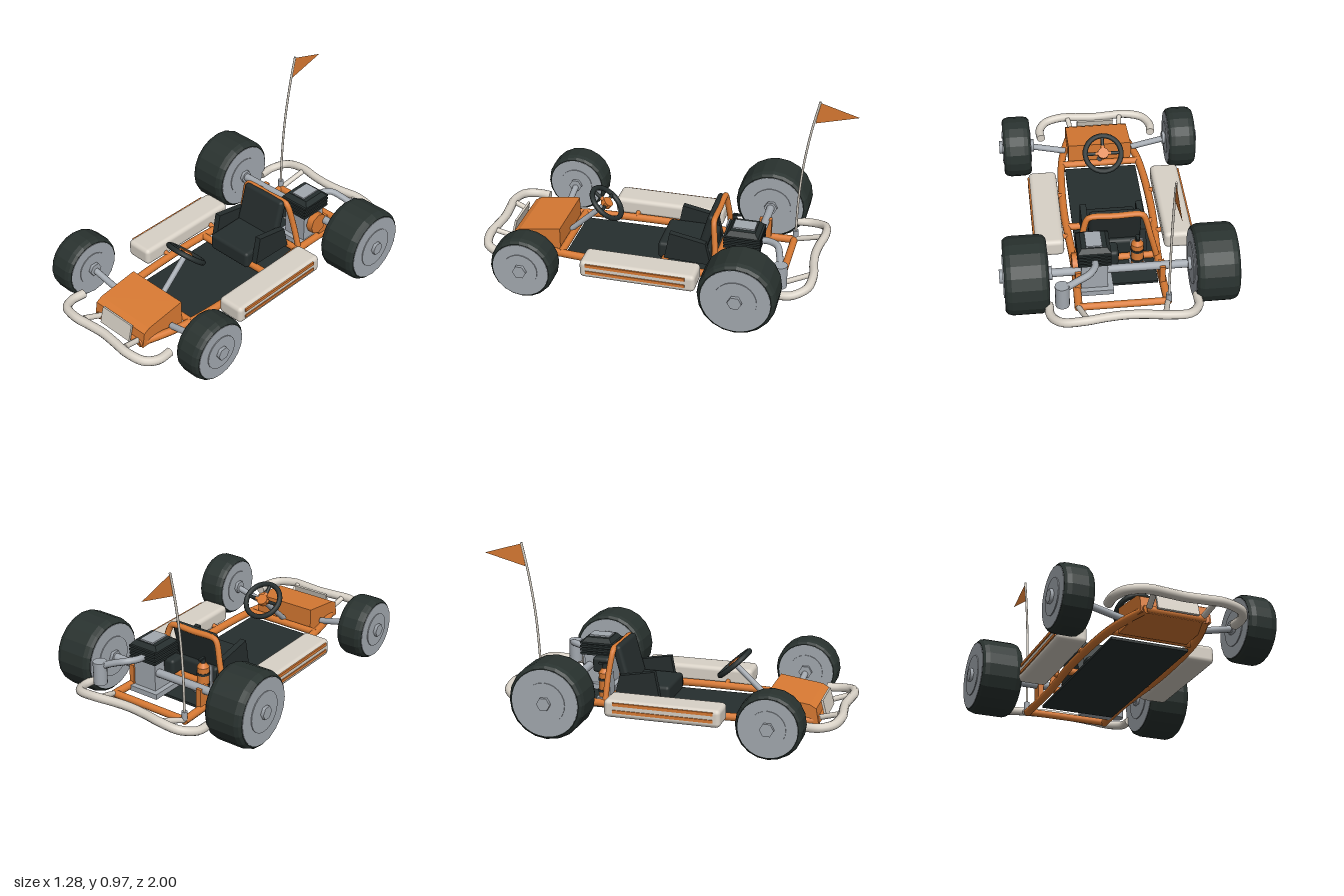
import * as THREE from 'three';
import { toCreasedNormals } from 'three/addons/utils/BufferGeometryUtils.js';
import { RoundedBoxGeometry } from 'three/addons/geometries/RoundedBoxGeometry.js';

const mat = (name, color, side = THREE.FrontSide) => {
  const m = new THREE.MeshStandardMaterial({ color, side });
  m.name = name;
  return m;
};
const V = (p) => new THREE.Vector3(...p);

export function createModel() {
  const orange = mat('orange paint', 0xd97a33);
  const flagOrange = mat('flag orange', 0xd97a33, THREE.DoubleSide);
  const cream = mat('cream plastic', 0xd9d2c7);
  const metal = mat('grey metal', 0xa3a9b0);
  const rubber = mat('dark rubber', 0x29322f);
  const black = mat('dark vinyl', 0x262e2e);
  const model = new THREE.Group();
  model.name = 'goKart';

  const add = (name, geo, material, pos = [0, 0, 0], parent = model) => {
    const m = new THREE.Mesh(geo, material);
    m.name = name;
    m.position.set(...pos);
    parent.add(m);
    return m;
  };
  const box = (name, size, pos, material, parent) => add(name, new THREE.BoxGeometry(...size), material, pos, parent);
  const rbox = (name, size, r, pos, material, parent) =>
    add(name, new RoundedBoxGeometry(...size, 2, r), material, pos, parent);
  const cyl = (name, r, h, pos, material, parent, seg = 16, r2 = r) =>
    add(name, new THREE.CylinderGeometry(r2, r, h, seg), material, pos, parent);
  // straight bar between two points
  const bar = (name, a, b, r, material, parent = model) => {
    const d = V(b).sub(V(a));
    const m = cyl(name, r, d.length(), V(a).add(V(b)).multiplyScalar(0.5).toArray(), material, parent, 12);
    m.quaternion.setFromUnitVectors(new THREE.Vector3(0, 1, 0), d.normalize());
    return m;
  };
  // smooth bent tube with closed ends
  const tube = (name, pts, r, material, seg = 40) => {
    const curve = new THREE.CatmullRomCurve3(pts.map(V), false, 'centripetal');
    add(name, new THREE.TubeGeometry(curve, seg, r, 10), material);
    for (const t of [0, 1]) {
      const cap = add(name + 'End', new THREE.CircleGeometry(r, 10), material, curve.getPoint(t).toArray());
      cap.quaternion.setFromUnitVectors(new THREE.Vector3(0, 0, 1), curve.getTangent(t).multiplyScalar(t ? 1 : -1));
    }
  };
  // side profile given as [z, y], extruded across the width
  const profile = (name, pts, width, x, material) => {
    const shape = new THREE.Shape(pts.map((p) => new THREE.Vector2(...p)));
    const g = new THREE.ExtrudeGeometry(shape, { depth: width, bevelEnabled: false });
    g.rotateY(-Math.PI / 2).translate(width / 2, 0, 0);
    return add(name, g, material, [x, 0, 0]);
  };
  const mirrored = (half) => [...half, ...half.slice(0, -1).reverse().map(([x, y, z]) => [-x, y, z])];

  // wheels: faceted tyre, wide rim disc, hub plate and hexagonal nut
  const wheel = (name, s, x, y, z, r, w) => {
    const g = new THREE.Group();
    g.name = name;
    g.position.set(s * x, y, z);
    g.rotation.z = -s * Math.PI / 2;
    model.add(g);
    const h = w / 2;
    const half = [[0, h - 0.006], [r * 0.82, h - 0.002], [r * 0.9, h], [r * 0.965, h - 0.013], [r, h - 0.036]];
    const pts = [...half.map(([a, b]) => [a, -b]), ...half.reverse()].map((p) => new THREE.Vector2(...p));
    add('tyre', toCreasedNormals(new THREE.LatheGeometry(pts, 20), 0.1), rubber, [0, 0, 0], g);
    cyl('rim', r * 0.875, w + 0.004, [0, 0, 0], metal, g, 32);
    cyl('hubPlate', r * 0.54, w + 0.014, [0, 0, 0], metal, g, 24);
    cyl('wheelNut', 0.038, w + 0.05, [0, 0, 0], metal, g, 6);
  };
  for (const s of [1, -1]) {
    wheel('rearWheel', s, 0.5, 0.213, -0.52, 0.21, 0.228);
    wheel('frontWheel', s, 0.488, 0.181, 0.66, 0.177, 0.156);
    bar('frontAxleArm', [s * 0.2, 0.13, 0.655], [s * 0.43, 0.181, 0.66], 0.018, metal);

    // chassis rails
    tube('chassisRail', [[s * 0.235, 0.105, -0.69], [s * 0.23, 0.105, -0.35], [s * 0.25, 0.105, 0.1],
      [s * 0.235, 0.105, 0.5], [s * 0.21, 0.105, 0.66], [s * 0.155, 0.105, 0.85]], 0.022, orange);

    // side pods with painted stripes and mounts
    rbox('sidePod', [0.16, 0.1, 0.64], 0.025, [s * 0.355, 0.15, 0.057], cream);
    for (const y of [0.179, 0.139]) box('podStripe', [0.009, 0.017, 0.55], [s * 0.436, y, 0.065], orange);
    for (const z of [-0.12, 0.24]) bar('podMount', [s * 0.24, 0.11, z], [s * 0.3, 0.13, z], 0.014, orange);

    // bumper stays and seat side bolsters
    bar('frontBumperStay', [s * 0.14, 0.11, 0.83], [s * 0.16, 0.15, 0.95], 0.015, cream);
    bar('rearBumperStay', [s * 0.235, 0.11, -0.69], [s * 0.2, 0.17, -0.85], 0.015, cream);
    profile('seatBolster', [[-0.29, 0.12], [-0.03, 0.13], [-0.06, 0.288], [-0.26, 0.25]], 0.035, s * 0.155, black);
  }
  bar('rearAxle', [-0.6, 0.213, -0.52], [0.6, 0.213, -0.52], 0.023, metal);

  // cross members, floor and bearing posts
  for (const [z, x] of [[-0.685, 0.235], [-0.31, 0.23], [-0.03, 0.235], [0.545, 0.235], [0.84, 0.155]])
    bar('crossMember', [-x, 0.108, z], [x, 0.108, z], 0.02, orange);
  box('floorPan', [0.42, 0.014, 1.03], [0, 0.078, 0.015], black);
  for (const x of [-0.225, 0.225]) box('axleBearing', [0.03, 0.12, 0.07], [x, 0.165, -0.52], orange);

  // bumpers
  tube('frontBumper', mirrored([[0.335, 0.125, 0.8], [0.338, 0.128, 0.88], [0.3, 0.137, 0.945],
    [0.2, 0.148, 0.973], [0.1, 0.15, 0.965], [0, 0.15, 0.957]]), 0.025, cream, 60);
  tube('rearBumper', mirrored([[0.39, 0.135, -0.68], [0.385, 0.14, -0.77], [0.33, 0.16, -0.845],
    [0.22, 0.175, -0.862], [0.1, 0.175, -0.845], [0, 0.175, -0.838]]), 0.024, cream, 60);

  // nose cone and front plate
  profile('noseCone', [[0.565, 0.09], [0.85, 0.09], [0.835, 0.175], [0.8, 0.195], [0.565, 0.228]], 0.37, 0, orange);
  const plate = box('frontPlate', [0.22, 0.095, 0.012], [0, 0.153, 0.862], cream);
  plate.rotation.x = -0.25;

  // seat and roll hoop
  rbox('seatCushion', [0.28, 0.1, 0.3], 0.02, [0, 0.15, -0.135], black);
  const back = rbox('seatBack', [0.285, 0.25, 0.05], 0.02, [0, 0.285, -0.257], black);
  back.rotation.x = -0.27;
  tube('seatHoop', mirrored([[0.225, 0.11, -0.325], [0.19, 0.25, -0.318], [0.156, 0.375, -0.303],
    [0.14, 0.39, -0.302], [0, 0.39, -0.302]]), 0.017, orange, 60);

  // steering wheel and column
  const steering = new THREE.Group();
  steering.name = 'steering';
  steering.position.set(0, 0.325, 0.345);
  steering.rotation.x = -0.735;
  model.add(steering);
  add('steeringRim', new THREE.TorusGeometry(0.104, 0.015, 10, 28).rotateX(Math.PI / 2), black, [0, 0, 0], steering);
  cyl('steeringHub', 0.032, 0.03, [0, 0, 0], orange, steering);
  for (const a of [0, Math.PI, Math.PI / 2]) {
    const dir = [Math.cos(a), Math.sin(a)];
    bar('steeringSpoke', [0, 0, 0], [dir[0] * 0.1, 0, dir[1] * 0.1], 0.01, black, steering);
    bar('spokeRoot', [0, 0, 0], [dir[0] * 0.045, 0, dir[1] * 0.045], 0.012, orange, steering);
  }
  bar('steeringColumn', [0, 0.315, 0.355], [0, 0.125, 0.56], 0.016, metal);

  // engine: block, cooling fins, top cover, starter and carburettor
  box('engineMount', [0.2, 0.03, 0.22], [0.137, 0.1, -0.47], metal);
  box('engineBlock', [0.14, 0.18, 0.16], [0.137, 0.2, -0.47], metal);
  for (let i = 0; i < 4; i++) box('coolingFin', [0.175, 0.012, 0.2], [0.137, 0.285 + i * 0.021, -0.47], black);
  box('cylinder', [0.13, 0.08, 0.14], [0.137, 0.315, -0.47], black);
  const cover = cyl('engineCover', 0.125, 0.025, [0.137, 0.366, -0.47], black, model, 4, 0.095);
  cover.geometry = toCreasedNormals(cover.geometry.rotateY(Math.PI / 4), 0.4);
  box('coverPlate', [0.085, 0.009, 0.12], [0.137, 0.382, -0.47], metal);
  const starter = cyl('starterCover', 0.062, 0.04, [0.232, 0.215, -0.465], orange, model, 8);
  starter.rotation.z = Math.PI / 2;
  rbox('carburettor', [0.07, 0.09, 0.1], 0.018, [0.035, 0.24, -0.43], black);

  // exhaust pipe and silencer
  tube('exhaustPipe', [[0.137, 0.3, -0.54], [0.14, 0.305, -0.6], [0.175, 0.305, -0.655], [0.24, 0.285, -0.68],
    [0.32, 0.25, -0.7]], 0.019, metal);
  cyl('silencer', 0.038, 0.13, [0.32, 0.215, -0.7], metal);

  // small bottle behind the seat
  box('bottleBracket', [0.085, 0.012, 0.075], [-0.112, 0.1, -0.365], metal);
  box('bottleBackplate', [0.07, 0.14, 0.01], [-0.112, 0.17, -0.328], metal);
  cyl('bottle', 0.034, 0.14, [-0.112, 0.172, -0.365], orange);
  cyl('bottleShoulder', 0.034, 0.025, [-0.112, 0.254, -0.365], orange, model, 16, 0.016);
  cyl('bottleCap', 0.014, 0.03, [-0.112, 0.278, -0.365], black);
  box('bottleLever', [0.016, 0.01, 0.045], [-0.112, 0.292, -0.378], black);
  for (const y of [0.14, 0.205]) cyl('bottleStrap', 0.037, 0.014, [-0.112, y, -0.365], black);

  // whip antenna and pennant
  cyl('antennaBase', 0.016, 0.05, [-0.24, 0.14, -0.69], metal);
  tube('antenna', [[-0.24, 0.12, -0.69], [-0.24, 0.35, -0.695], [-0.24, 0.58, -0.713], [-0.24, 0.8, -0.747],
    [-0.24, 0.975, -0.785]], 0.0065, cream);
  const flag = new THREE.Shape([[-0.783, 0.97], [-1, 0.906], [-0.765, 0.845]].map((p) => new THREE.Vector2(...p)));
  add('pennant', new THREE.ShapeGeometry(flag).rotateY(-Math.PI / 2), flagOrange, [-0.24, 0, 0]);

  return model;
}
